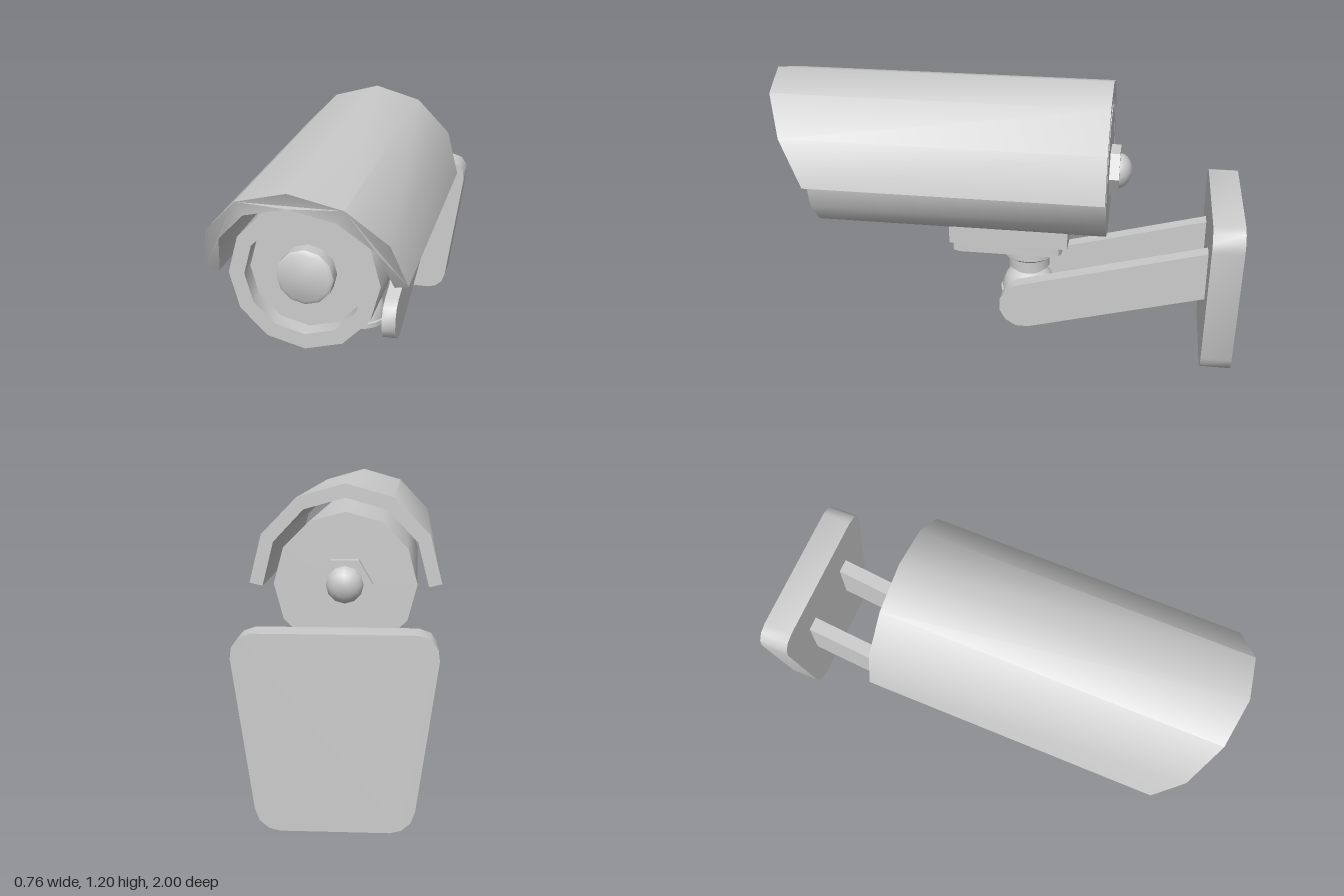
import * as THREE from 'three';
import { toCreasedNormals } from 'three/addons/utils/BufferGeometryUtils.js';

const CREASE = 0.65;
const material = new THREE.MeshStandardMaterial({ color: 0xcccccc });
const points = (list) => list.map(([x, y]) => new THREE.Vector2(x, y));

export function createModel() {
  const group = new THREE.Group();

  const add = (name, geometry, x = 0, y = 0, z = 0) => {
    const mesh = new THREE.Mesh(toCreasedNormals(geometry, CREASE), material);
    mesh.name = name;
    mesh.position.set(x, y, z);
    group.add(mesh);
    return mesh;
  };
  const prism = (outline, depth) => new THREE.ExtrudeGeometry(
    new THREE.Shape(points(outline)), { depth, bevelEnabled: false, curveSegments: 3 });
  const mirrorOutline = (half) => [...half, ...half.map(([x, y]) => [-x, y]).reverse()];

  // Housing with recessed front and bevelled lens, turned around the z axis
  const housing = new THREE.LatheGeometry(points([
    [0, -0.44], [0.285, -0.44], [0.285, 0.82], [0.225, 0.82], [0.225, 0.75],
    [0.108, 0.75], [0.108, 0.805], [0.094, 0.815], [0, 0.815],
  ]), 12);
  housing.rotateX(Math.PI / 2);
  add('housing', housing, 0, 0.805, 0);

  // Sun hood: faceted arch, front edge swept back towards the sides
  const outer = [[0.382, 0.807], [0.334, 1.0], [0.192, 1.146], [0, 1.2]];
  const inner = [[0, 1.145], [0.165, 1.098], [0.286, 0.97], [0.33, 0.795]];
  const flip = (list) => list.map(([x, y]) => [-x, y]).reverse();
  const hood = prism([
    ...outer, ...flip(outer).slice(1), ...flip(inner), ...inner.slice(1),
  ], 1);
  const p = hood.attributes.position;
  for (let i = 0; i < p.count; i++) {
    const dy = p.getY(i) - 0.805;
    const front = 0.8 + 0.2 * dy / Math.hypot(p.getX(i), dy);
    p.setZ(i, p.getZ(i) > 0.5 ? front : -0.44);
  }
  add('sunHood', hood);

  // Rear cable gland: hex nut and dome
  const nut = new THREE.CylinderGeometry(0.111, 0.111, 0.05, 6);
  nut.rotateY(Math.PI / 6).rotateX(Math.PI / 2).rotateZ(0);
  // vertices of the nut lie on the x axis
  add('rearNut', nut, 0, 0.808, -0.456);
  const dome = new THREE.SphereGeometry(0.075, 12, 5, 0, Math.PI * 2, 0, Math.PI / 2);
  dome.scale(1, 0.72, 1).rotateX(-Math.PI / 2);
  add('rearDome', dome, 0, 0.808, -0.478);

  // Mounting plates under the housing
  add('upperMountPlate', new THREE.BoxGeometry(0.29, 0.08, 0.515), 0, 0.523, -0.018);
  const w = 0.13, l = 0.243, c = 0.04;
  const lowerPlate = prism(mirrorOutline([
    [w - c, -l], [w - c * 0.3, -l + c * 0.3], [w, -l + c],
    [w, l - c], [w - c * 0.3, l - c * 0.3], [w - c, l],
  ]), 0.05);
  lowerPlate.rotateX(-Math.PI / 2);
  add('lowerMountPlate', lowerPlate, 0, 0.435, -0.005);

  // Swivel joint: rim, bell, neck, collar and chamfered flange
  add('swivelJoint', new THREE.LatheGeometry(points([
    [0, 0.19], [0.128, 0.19], [0.128, 0.213], [0.12, 0.216], [0.115, 0.25],
    [0.1, 0.285], [0.08, 0.305], [0.068, 0.312], [0.068, 0.332], [0.092, 0.332],
    [0.092, 0.378], [0.115, 0.395], [0.115, 0.437], [0, 0.437],
  ]), 16), 0, 0, -0.095);

  // Pair of sloping arms with rounded ends
  const arm = [[-0.88, 0.533], [-0.88, 0.318]];
  for (let i = 0; i <= 6; i++) {
    const a = THREE.MathUtils.degToRad(-105 + i * 30);
    arm.push([-0.088 + 0.104 * Math.cos(a), 0.214 + 0.104 * Math.sin(a)]);
  }
  for (const [name, x] of [['leftArm', 0.188], ['rightArm', -0.125]]) {
    const geometry = prism(arm, 0.063);
    geometry.rotateY(-Math.PI / 2);
    add(name, geometry, x);
  }

  // Tapered wall plate with rounded corners
  add('wallPlate', prism(mirrorOutline([
    [0.195, 0], [0.235, 0.01], [0.268, 0.038], [0.284, 0.08],
    [0.363, 0.625], [0.358, 0.665], [0.333, 0.7], [0.29, 0.715],
  ]), 0.13), 0, 0, -1);

  return group;
}
